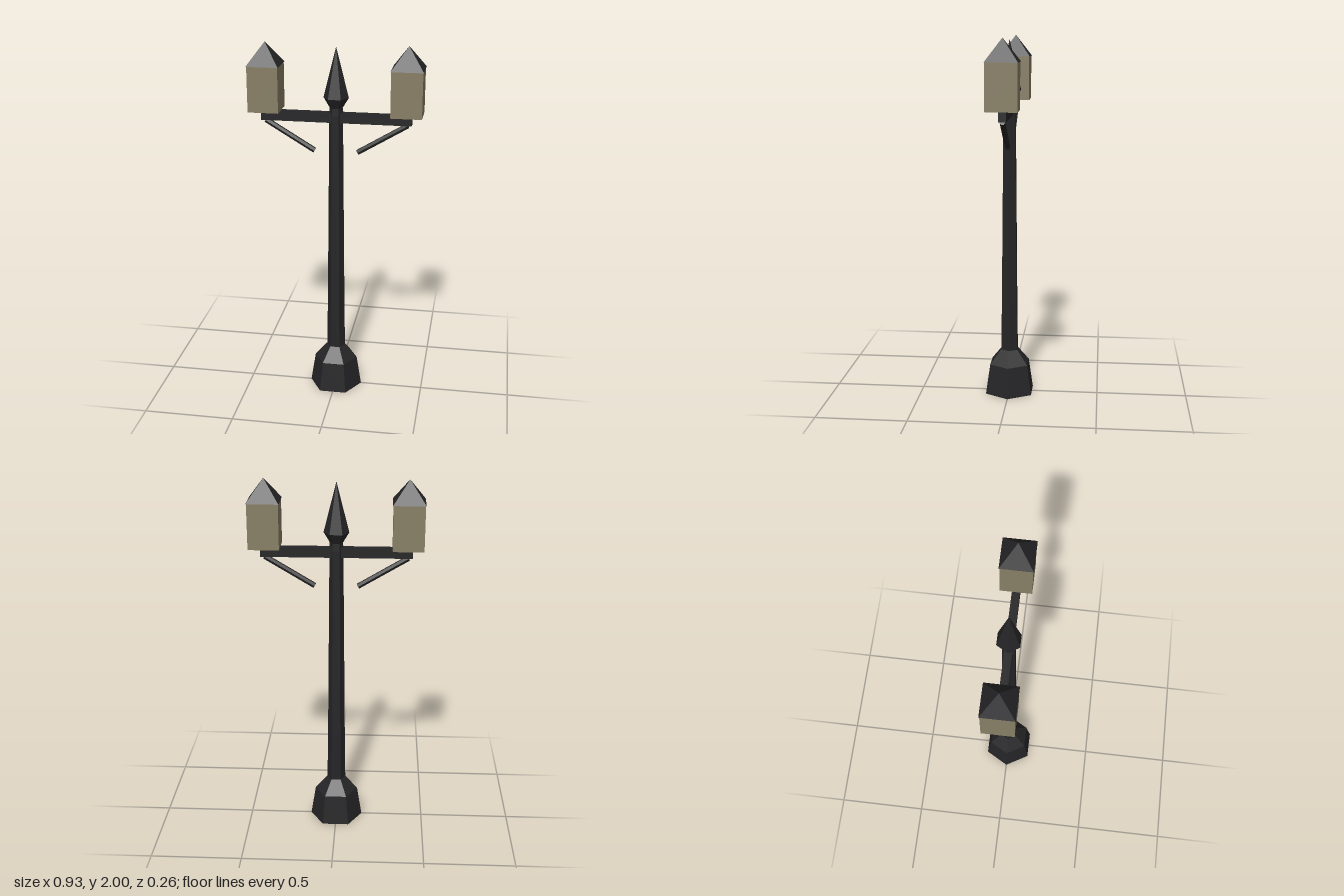
import * as THREE from 'three';

export function createModel() {
  const model = new THREE.Group();
  model.name = 'streetLamp';

  const iron = new THREE.MeshStandardMaterial({ color: 0x252527, flatShading: true });
  iron.name = 'blackIron';
  const glass = new THREE.MeshStandardMaterial({ color: 0x877e64, flatShading: true });
  glass.name = 'dimGlass';

  const add = (name, geometry, material, x = 0, y = 0, z = 0) => {
    const mesh = new THREE.Mesh(geometry, material);
    mesh.name = name;
    mesh.position.set(x, y, z);
    model.add(mesh);
    return mesh;
  };

  // Six-sided turned part with corners on the x axis
  const hexLathe = (points) => new THREE.LatheGeometry(
    points.map(([r, y]) => new THREE.Vector2(r, y)), 6, Math.PI / 6);

  // Pedestal, tapering post and spear finial
  add('base', hexLathe([[0, 0], [0.148, 0], [0.121, 0.17], [0.053, 0.25], [0, 0.25]]), iron);
  add('post', hexLathe([[0.052, 0.24], [0.048, 0.53], [0.037, 1.62], [0.035, 1.67]]), iron);
  add('finial', hexLathe([[0.035, 1.66], [0.068, 1.715], [0, 1.985]]), iron);

  // Crossbar
  add('crossbar', new THREE.BoxGeometry(0.81, 0.053, 0.042), iron, 0, 1.607, 0);

  for (const side of [1, -1]) {
    const label = side > 0 ? 'left' : 'right';

    // Slanted brace under the crossbar
    const inner = new THREE.Vector3(side * 0.117, 1.418, 0);
    const outer = new THREE.Vector3(side * 0.383, 1.578, 0);
    const along = outer.clone().sub(inner);
    const brace = add(label + 'Brace',
      new THREE.CylinderGeometry(0.015, 0.015, along.length(), 6), iron);
    brace.position.copy(inner).add(outer).multiplyScalar(0.5);
    brace.quaternion.setFromUnitVectors(new THREE.Vector3(0, 1, 0), along.normalize());

    // Lantern box and its pyramid roof
    add(label + 'Lantern', new THREE.BoxGeometry(0.165, 0.245, 0.165), glass, side * 0.38, 1.7575, 0);
    const roof = new THREE.ConeGeometry(0.086 * Math.SQRT2, 0.12, 4);
    roof.rotateY(Math.PI / 4);
    add(label + 'Roof', roof, iron, side * 0.38, 1.94, 0);
  }

  return model;
}
